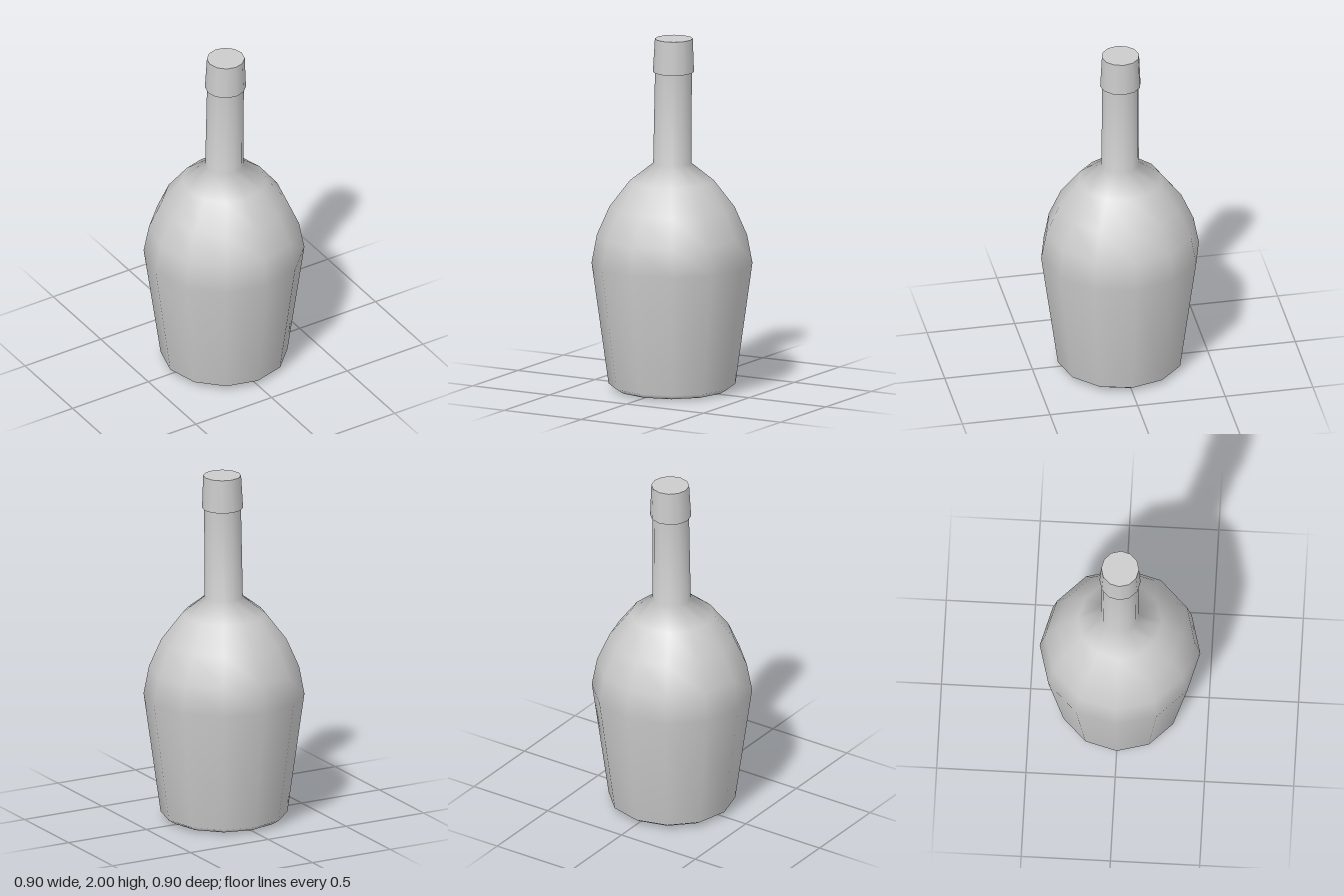
import * as THREE from 'three';

const SIDES = 12;
const NECK_BASE = 1.29;

// The neck leans very slightly towards +x above the shoulder
function lean(geometry) {
  const p = geometry.attributes.position;
  for (let i = 0; i < p.count; i++) {
    const rise = p.getY(i) - NECK_BASE;
    if (rise >= -0.001) p.setX(i, p.getX(i) + 0.002 + rise * 0.014);
  }
  return geometry;
}

export function createModel() {
  const group = new THREE.Group();
  group.name = 'bottle';
  const material = new THREE.MeshStandardMaterial({ color: 0xcccccc });

  // Base, tapered body, rounded shoulder and neck as one smooth profile
  const profile = [
    [0, 0], [0.312, 0.003], [0.355, 0.03], [0.45, 0.72], [0.42, 0.88],
    [0.35, 1.04], [0.235, 1.19], [0.107, NECK_BASE], [0.103, 1.82],
  ].map(([r, y]) => new THREE.Vector2(r, y));
  const body = new THREE.Mesh(lean(new THREE.LatheGeometry(profile, SIDES)), material);
  body.name = 'bottleBody';
  group.add(body);

  // Slightly tapered cap overhanging the neck
  const capGeometry = new THREE.CylinderGeometry(0.106, 0.115, 0.19, SIDES);
  capGeometry.translate(0, 1.905, 0);
  const cap = new THREE.Mesh(lean(capGeometry), material);
  cap.name = 'cap';
  group.add(cap);

  return group;
}
